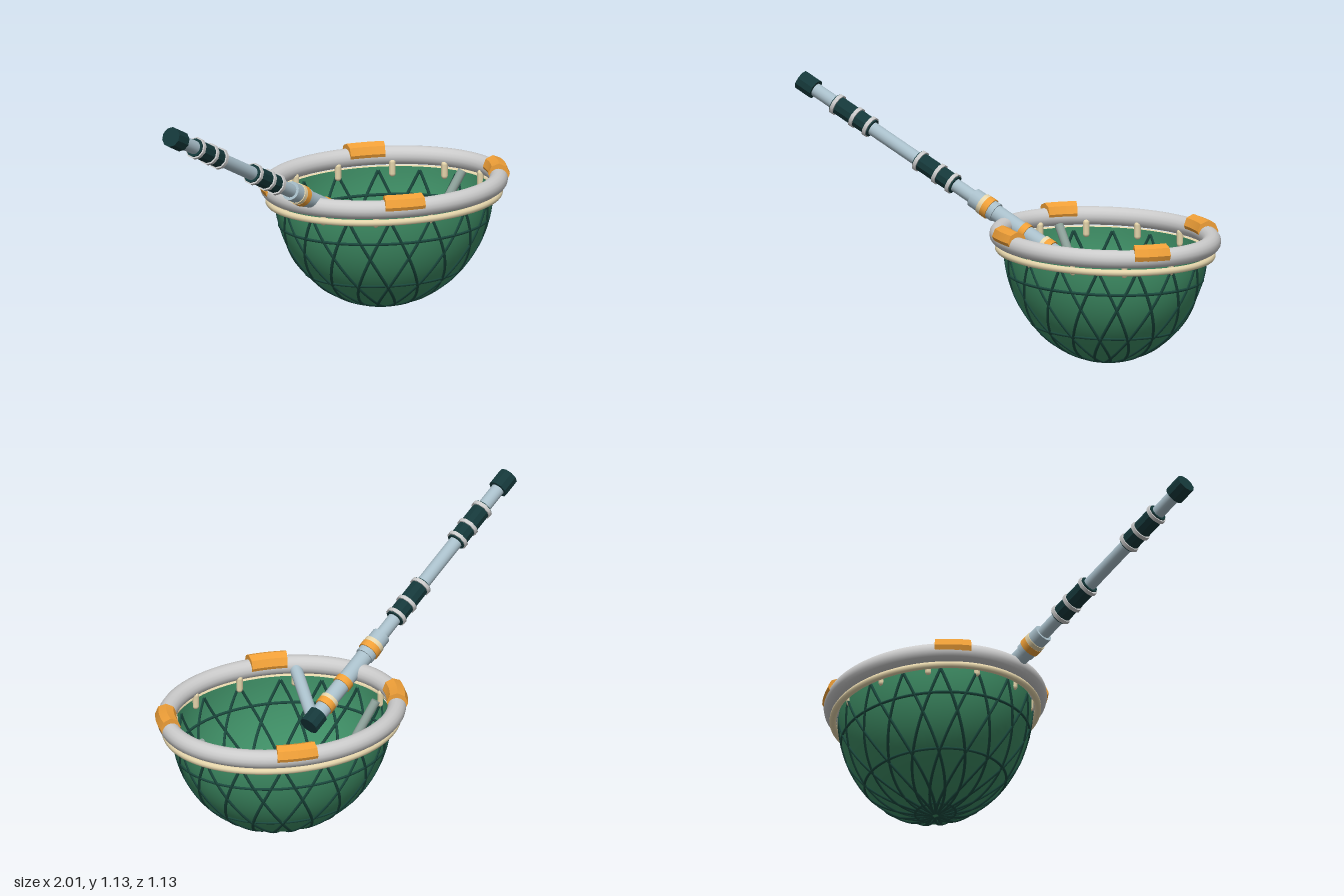
import * as THREE from 'three';

const CX = 0.43, CZ = -0.083;          // centre of the hoop
const BOWL_Y = 0.505, DEPTH = 0.498, BOWL_RX = 0.49, BOWL_RZ = 0.41;

const mat = (color, extra = {}) => new THREE.MeshStandardMaterial({ color, ...extra });

// Curve from a plain function of t
class FnCurve extends THREE.Curve {
  constructor(fn) { super(); this.fn = fn; }
  getPoint(t, target = new THREE.Vector3()) { return target.set(...this.fn(t)); }
}

const ellipse = (rx, rz, y, a0 = 0, a1 = Math.PI * 2) => new FnCurve(t => {
  const a = a0 + (a1 - a0) * t;
  return [CX + rx * Math.cos(a), y, CZ + rz * Math.sin(a)];
});

// Point on the net: p = 0 at the rim, 1 at the bottom pole
const onBowl = (p, a) => {
  const e = p * Math.PI / 2, r = Math.cos(e);
  return [CX + BOWL_RX * r * Math.cos(a), BOWL_Y - DEPTH * Math.sin(e), CZ + BOWL_RZ * r * Math.sin(a)];
};

export function createModel() {
  const model = new THREE.Group();
  model.name = 'scoopNet';

  const grey = mat(0xcccccc);
  const green = mat(0x3f8f66, { side: THREE.DoubleSide });
  const cord = mat(0x1b4a3f);
  const orange = mat(0xf0a038);
  const orangeFlat = mat(0xf0a038, { flatShading: true });
  const cream = mat(0xe6d6ac);
  const steel = mat(0xa9bfca);
  const dark = mat(0x15383a, { flatShading: true });
  const strutGrey = mat(0x8fa39c);

  const add = (name, geometry, material, parent = model) => {
    const mesh = new THREE.Mesh(geometry, material);
    mesh.name = name;
    parent.add(mesh);
    return mesh;
  };
  const group = name => {
    const g = new THREE.Group();
    g.name = name;
    model.add(g);
    return g;
  };
  // Round bar between two points
  const bar = (name, a, b, r0, r1, sides, material, parent) => {
    const dir = b.clone().sub(a);
    const mesh = add(name, new THREE.CylinderGeometry(r1, r0, dir.length(), sides), material, parent);
    mesh.position.copy(a).add(b).multiplyScalar(0.5);
    mesh.quaternion.setFromUnitVectors(new THREE.Vector3(0, 1, 0), dir.normalize());
    return mesh;
  };
  const V = (x, y, z) => new THREE.Vector3(x, y, z);

  // Hoop and the thin ring under it
  add('hoop', new THREE.TubeGeometry(ellipse(0.52, 0.433, 0.55), 96, 0.041, 16, true), grey);
  add('netRing', new THREE.TubeGeometry(ellipse(0.525, 0.433, 0.49), 96, 0.015, 10, true), cream);

  // Chunky sleeves around the hoop, with closed ends
  const sleeves = group('hoopSleeves');
  for (let i = 0; i < 4; i++) {
    const mid = THREE.MathUtils.degToRad(16 + 90 * i);
    const curve = ellipse(0.522, 0.433, 0.567, mid - 0.165, mid + 0.165);
    add('hoopSleeve', new THREE.TubeGeometry(curve, 8, 0.047, 8, false), orangeFlat, sleeves);
    for (const t of [0, 1]) {
      const end = add('sleeveEnd', new THREE.CircleGeometry(0.047, 8), orangeFlat, sleeves);
      const p = curve.getPoint(t);
      end.position.copy(p);
      end.lookAt(p.clone().addScaledVector(curve.getTangent(t), t ? 1 : -1));
    }
  }

  // Net bowl
  const profile = [];
  for (let i = 0; i <= 28; i++) {
    const e = (1 - i / 28) * Math.PI / 2;
    profile.push(new THREE.Vector2(Math.cos(e), -Math.sin(e) * DEPTH));
  }
  const bowl = add('netBowl', new THREE.LatheGeometry(profile, 64), green);
  bowl.scale.set(BOWL_RX, 1, BOWL_RZ);
  bowl.position.set(CX, BOWL_Y, CZ);

  // Crossing cords that spiral to the bottom in both directions
  const cords = group('netCords');
  const N = 16, TWIST = Math.PI / 4;
  for (let i = 0; i < N; i++) {
    for (const s of [1, -1]) {
      const a0 = (i / N) * Math.PI * 2;
      const curve = new FnCurve(t => onBowl(0.02 + 0.96 * t, a0 + s * TWIST * t));
      add('diagonalCord', new THREE.TubeGeometry(curve, 32, 0.007, 6, false), cord, cords);
    }
  }
  for (const y of [0.382, 0.165, 0.018]) {
    const r = Math.sqrt(1 - ((BOWL_Y - y) / DEPTH) ** 2);
    add('ringCord', new THREE.TubeGeometry(ellipse(BOWL_RX * r, BOWL_RZ * r, y), 72, 0.007, 6, true), cord, cords);
  }

  // Small pegs tying the net to the hoop
  const pegs = group('netPegs');
  for (let i = 0; i < 12; i++) {
    const a = (i / 12) * Math.PI * 2;
    const peg = add('netPeg', new THREE.CapsuleGeometry(0.015, 0.05, 4, 8), cream, pegs);
    peg.position.set(CX + 0.485 * Math.cos(a), 0.5, CZ + 0.403 * Math.sin(a));
  }

  // Sloping struts inside both ends of the bowl
  for (const s of [1, -1]) {
    bar(s > 0 ? 'leftStrut' : 'rightStrut', V(CX + s * 0.43, 0.53, -0.145), V(CX + s * 0.3, 0.33, -0.145),
      0.02, 0.02, 12, strutGrey);
  }

  // Handle: every part is placed along one straight axis, addressed by its x
  const handle = group('handle');
  const tip = V(-0.96, 1.075, 0.51), foot = V(0.24, 0.425, -0.01);
  const at = x => tip.clone().lerp(foot, (x + 0.96) / 1.2);
  const seg = (name, x0, x1, r, material, sides = 20, r1 = r) =>
    bar(name, at(x0), at(x1), r, r1, sides, material, handle);

  seg('pole', -0.94, -0.1, 0.03, steel);
  seg('endCap', -0.992, -0.925, 0.045, dark, 10);
  for (const x of [-0.835, -0.45]) {
    seg('grip', x, x + 0.175, 0.042, dark, 10);
    for (const d of [0.012, 0.1, 0.163]) seg('gripRing', x + d - 0.007, x + d + 0.007, 0.049, grey, 10);
  }
  seg('socket', -0.19, -0.085, 0.043, steel, 16);
  seg('socketCreamBand', -0.15, -0.133, 0.047, cream, 16);
  seg('socketOrangeBand', -0.133, -0.108, 0.048, orange, 16);
  seg('innerPole', -0.09, 0.22, 0.037, steel);
  seg('innerBand', 0.035, 0.06, 0.042, orange, 16);
  seg('innerCreamBand', 0.13, 0.145, 0.043, cream, 16);
  seg('innerOrangeBand', 0.145, 0.17, 0.043, orange, 16);
  seg('footCap', 0.205, 0.265, 0.045, dark, 10);

  // Brace from the foot of the handle to the front of the hoop
  bar('brace', V(0.235, 0.43, 0.0), V(0.18, 0.54, 0.27), 0.028, 0.028, 16, steel, handle);

  return model;
}
